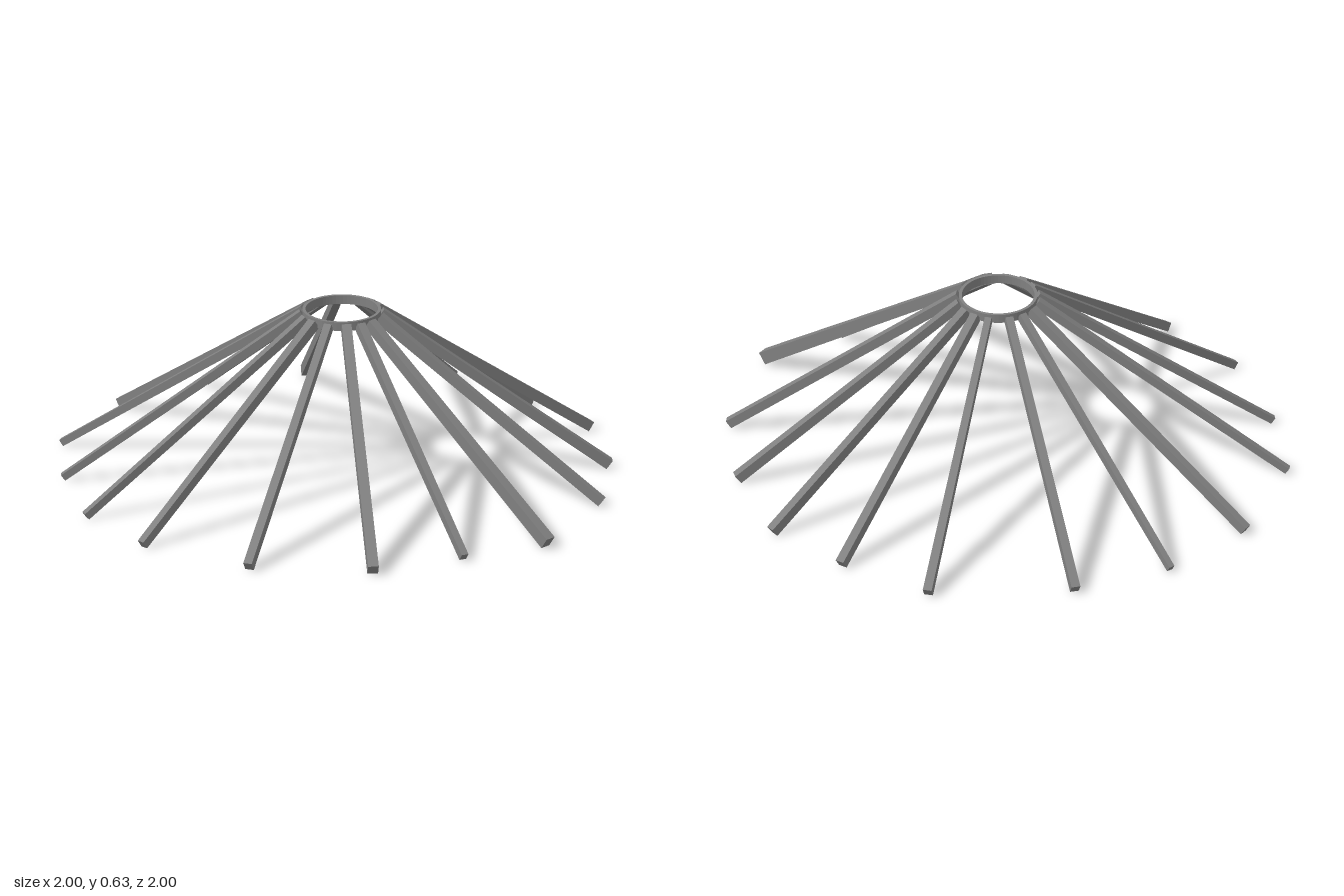
import * as THREE from 'three';

const poleMaterial = new THREE.MeshStandardMaterial({ color: 0x808080, flatShading: true });
const ringMaterial = new THREE.MeshStandardMaterial({ color: 0x808080 });
const CENTRE = new THREE.Vector3(0.035, 0.617, 0.021);
const DEPTH = 1.15; // beam depth relative to its width

// foot x, foot z, half width at the top, half width at the foot
const POLES = [
  [0.19, -0.988, 0.012, 0.016], [0.51, -0.825, 0.015, 0.016], [0.77, -0.63, 0.015, 0.016],
  [0.925, -0.285, 0.014, 0.016], [0.987, 0.08, 0.015, 0.014], [0.9, 0.525, 0.016, 0.02],
  [0.643, 0.715, 0.015, 0.013], [0.367, 0.928, 0.017, 0.019], [-0.067, 0.99, 0.014, 0.016],
  [-0.48, 0.863, 0.016, 0.014], [-0.74, 0.632, 0.014, 0.012], [-0.907, 0.28, 0.014, 0.011],
  [-0.99, -0.05, 0.014, 0.011], [-0.88, -0.467, 0.016, 0.015], [-0.642, -0.743, 0.013, 0.011],
  [-0.322, -0.918, 0.014, 0.016],
];

// Tapered square beam between two points, flat side up
function makePole(top, foot, halfTop, halfFoot) {
  const dx = foot.x - top.x, dz = foot.z - top.z;
  const geometry = new THREE.CylinderGeometry(
    halfTop * Math.SQRT2, halfFoot * Math.SQRT2, top.distanceTo(foot), 4, 1, false, Math.PI / 4);
  geometry.scale(1, 1, DEPTH);
  const pole = new THREE.Mesh(geometry, poleMaterial);
  pole.position.copy(top).add(foot).multiplyScalar(0.5);
  pole.rotation.set(-Math.atan2(Math.hypot(dx, dz), top.y - foot.y), Math.atan2(dx, dz), 0, 'YXZ');
  pole.name = 'roofPole';
  return pole;
}

export function createModel() {
  const model = new THREE.Group();
  model.name = 'poleRoofFrame';

  // Crown ring: a thin open band
  const band = new THREE.Shape().absarc(0, 0, 0.138, 0, Math.PI * 2);
  band.holes.push(new THREE.Path().absarc(0, 0, 0.127, 0, Math.PI * 2, true));
  const ringGeometry = new THREE.ExtrudeGeometry(band, { depth: 0.032, bevelEnabled: false, curveSegments: 32 });
  ringGeometry.rotateX(-Math.PI / 2);
  const ring = new THREE.Mesh(ringGeometry, ringMaterial);
  ring.position.set(CENTRE.x, 0.603, CENTRE.z);
  ring.name = 'crownRing';
  model.add(ring);

  // Poles fan out from the ring to the ground
  const poles = new THREE.Group();
  poles.name = 'roofPoles';
  for (const [x, z, halfTop, halfFoot] of POLES) {
    const foot = new THREE.Vector3(x, 0.004 + 0.94 * halfFoot, z);
    const out = new THREE.Vector3(x - CENTRE.x, 0, z - CENTRE.z).normalize();
    const top = CENTRE.clone().addScaledVector(out, 0.138);
    poles.add(makePole(top, foot, halfTop, halfFoot));
  }
  model.add(poles);
  return model;
}
